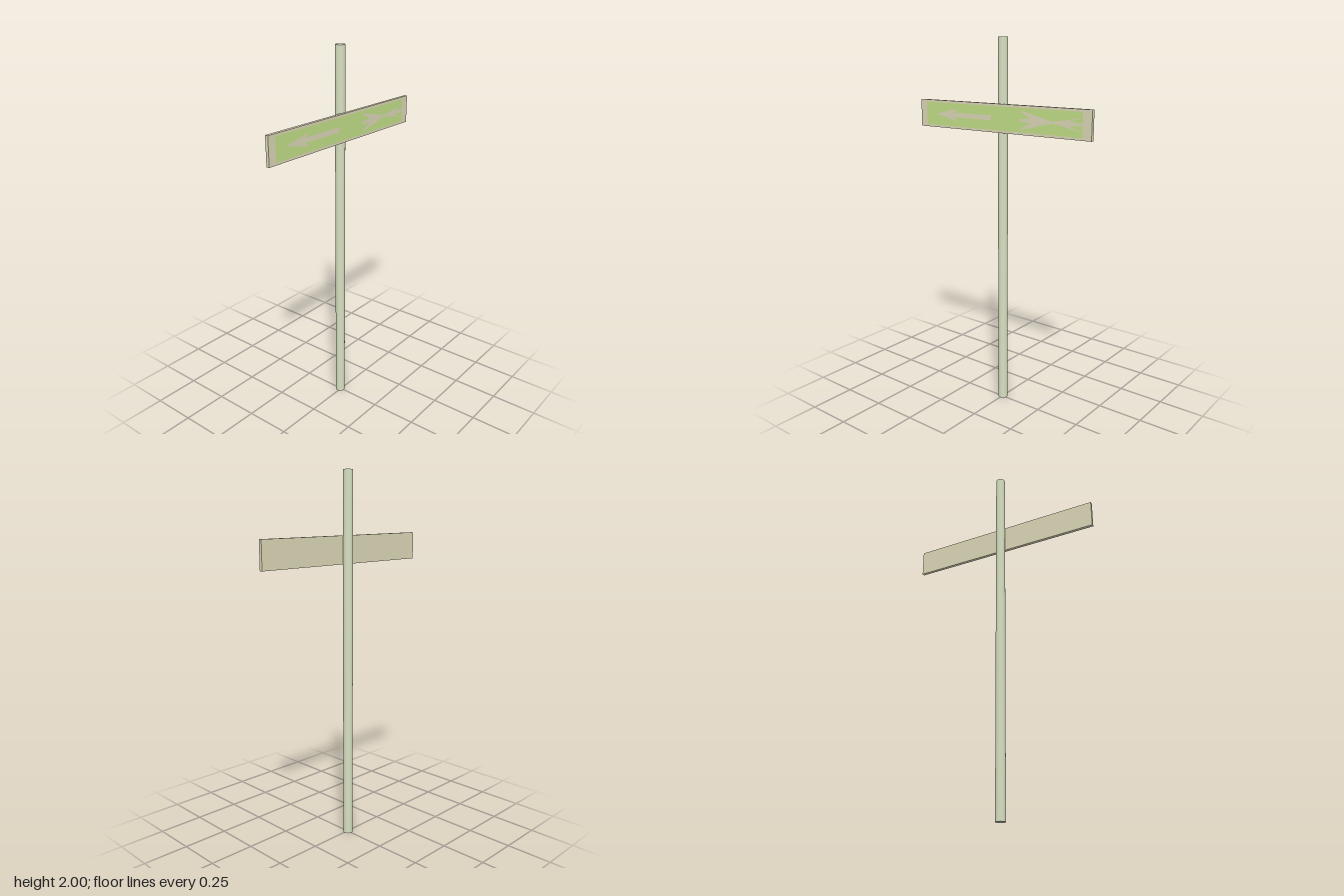
import * as THREE from 'three';

const BOARD_FRONT = 0.03, BOARD_Y = 1.595;

function addMesh(group, name, geometry, color, x = 0, y = 0, z = 0) {
  const material = new THREE.MeshStandardMaterial({ color });
  const mesh = new THREE.Mesh(geometry, material);
  mesh.name = name;
  mesh.position.set(x, y, z);
  group.add(mesh);
  return mesh;
}

// Flat outline symmetric about its horizontal axis, given by its upper half
function mirroredShape(upper) {
  const lower = upper.map(([x, y]) => [x, -y]).reverse();
  return new THREE.Shape([...upper, ...lower].map(([x, y]) => new THREE.Vector2(x, y)));
}

export function createModel() {
  const model = new THREE.Group();
  const cream = 0xdcd8b8, green = 0xc2e086, pole = 0xd6dfc0;

  // Round upright
  addMesh(model, 'post', new THREE.CylinderGeometry(0.026, 0.026, 2, 24), pole, 0, 1, -0.005);

  // Sign board fixed to the front of the post
  const sign = new THREE.Group();
  sign.name = 'sign';
  sign.position.y = BOARD_Y;
  model.add(sign);
  addMesh(sign, 'board', new THREE.BoxGeometry(1.106, 0.148, 0.017), cream, 0, 0, BOARD_FRONT - 0.0085);
  addMesh(sign, 'greenPanel', new THREE.PlaneGeometry(1.01, 0.122), green, -0.003, 0, BOARD_FRONT + 0.0006);

  // Arrow inlay: head with shaft, swept feathers, split tail
  const inlays = {
    arrowHead: [[-0.44, 0], [-0.28, 0.035], [-0.305, 0.013], [-0.05, 0.013]],
    arrowFeathers: [[0.13, 0.006], [0.2, 0.012], [0.13, 0.048], [0.17, 0.042], [0.33, 0.005]],
    arrowTail: [[0.32, 0.004], [0.38, 0.012], [0.5, 0.036], [0.43, 0.011], [0.5, 0.007]],
  };
  for (const [name, outline] of Object.entries(inlays)) {
    const mesh = addMesh(sign, name, new THREE.ShapeGeometry(mirroredShape(outline)), cream, 0, 0, BOARD_FRONT + 0.0012);
    mesh.material.side = THREE.DoubleSide;
  }
  return model;
}
